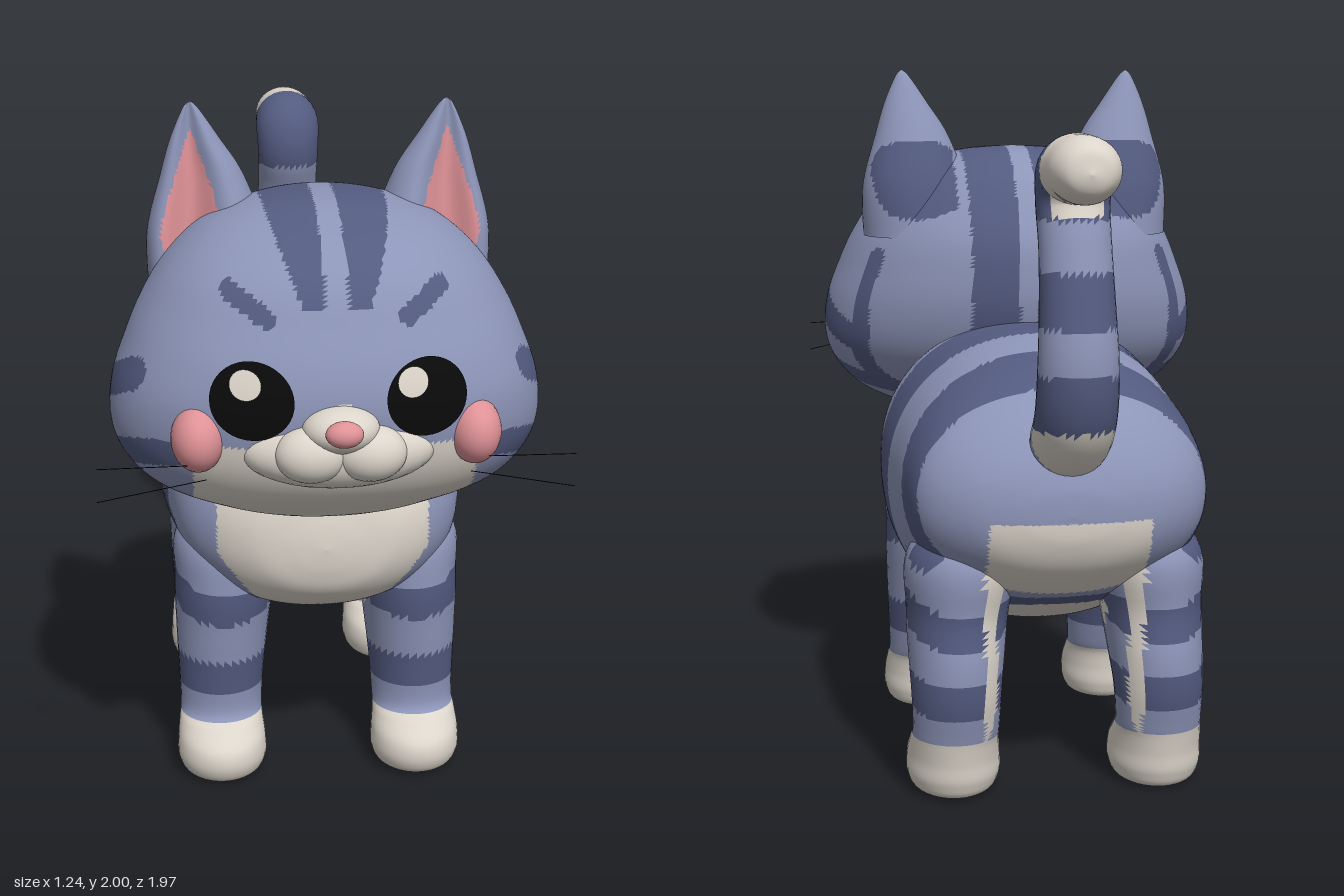
import * as THREE from 'three';

const material = (name, color) => {
  const m = new THREE.MeshStandardMaterial({ color });
  m.name = name;
  return m;
};
const FUR = 0, STRIPE = 1, CREAM = 2, PINK = 3, BLACK = 4;
const mats = [
  material('blueGreyFur', 0x8d95b8), material('darkStripe', 0x535b80), material('creamFur', 0xdcd5cb),
  material('pink', 0xdf9297), material('black', 0x0a0a0a),
];

// Smooth interpolation through rows of section values, t in 0..1
function sample(rows, t) {
  const n = rows.length - 1, f = Math.min(Math.max(t, 0), 1) * n;
  const i = Math.min(Math.floor(f), n - 1), u = f - i;
  const at = k => rows[Math.min(Math.max(k, 0), n)];
  return rows[0].map((_, k) => {
    const a = at(i)[k], b = at(i + 1)[k], m = (b - at(i - 1)[k]) / 2, q = (at(i + 2)[k] - a) / 2;
    return a + u * (m + u * (3 * (b - a) - 2 * m - q + u * (2 * (a - b) + m + q)));
  });
}

// Skin of rings through the sections; ring(section, angle, t) gives [x, y, z]
function loft(rows, steps, sides, ring) {
  const pos = [], idx = [];
  for (let i = 0; i <= steps; i++) {
    const s = sample(rows, i / steps);
    for (let j = 0; j < sides; j++) pos.push(...ring(s, (j / sides) * Math.PI * 2, i / steps));
  }
  for (let i = 0; i < steps; i++) for (let j = 0; j < sides; j++) {
    const a = i * sides + j, b = i * sides + (j + 1) % sides;
    idx.push(a, a + sides, b, b, a + sides, b + sides);
  }
  // Turn the faces outward if the enclosed volume is negative
  const v = k => new THREE.Vector3().fromArray(pos, k * 3);
  let volume = 0;
  for (let k = 0; k < idx.length; k += 3) volume += v(idx[k]).dot(v(idx[k + 1]).cross(v(idx[k + 2])));
  if (volume < 0) idx.reverse();
  const geo = new THREE.BufferGeometry();
  geo.setAttribute('position', new THREE.Float32BufferAttribute(pos, 3));
  geo.setIndex(idx);
  geo.computeVertexNormals();
  return geo;
}

// Sort the triangles into colour groups by a rule on |x|, y, z of their centres
function painted(name, geo, rule) {
  const p = geo.attributes.position, src = geo.index.array, buckets = mats.map(() => []);
  for (let k = 0; k < src.length; k += 3) {
    const t = [src[k], src[k + 1], src[k + 2]];
    const mid = f => (f(t[0]) + f(t[1]) + f(t[2])) / 3;
    buckets[rule(Math.abs(mid(i => p.getX(i))), mid(i => p.getY(i)), mid(i => p.getZ(i)))].push(...t);
  }
  geo.setIndex(buckets.flat());
  let start = 0;
  buckets.forEach((b, m) => {
    if (b.length) geo.addGroup(start, b.length, m);
    start += b.length;
  });
  const mesh = new THREE.Mesh(geo, mats);
  mesh.name = name;
  return mesh;
}

// True within r of the segment a-b
function near(px, py, ax, ay, bx, by, r) {
  const dx = bx - ax, dy = by - ay;
  const t = Math.min(Math.max(((px - ax) * dx + (py - ay) * dy) / (dx * dx + dy * dy), 0), 1);
  return Math.hypot(px - ax - t * dx, py - ay - t * dy) < r;
}
const power = (v, p) => Math.sign(v) * Math.abs(v) ** p;

// Head sections: y, half width, centre z, depth forward, depth back
const headRows = [
  [0.905, 0, 0.5, 0, 0], [0.912, 0.15, 0.49, 0.09, 0.11], [0.93, 0.26, 0.475, 0.15, 0.16], [0.955, 0.35, 0.46, 0.2, 0.2],
  [1.0, 0.45, 0.45, 0.28, 0.25], [1.05, 0.515, 0.45, 0.34, 0.32], [1.12, 0.565, 0.45, 0.385, 0.4],
  [1.2, 0.585, 0.45, 0.41, 0.45], [1.3, 0.575, 0.45, 0.42, 0.48], [1.4, 0.54, 0.44, 0.41, 0.475],
  [1.5, 0.495, 0.42, 0.385, 0.44], [1.6, 0.43, 0.4, 0.35, 0.37], [1.68, 0.345, 0.38, 0.28, 0.29],
  [1.73, 0.25, 0.36, 0.2, 0.2], [1.76, 0.14, 0.35, 0.12, 0.12], [1.77, 0, 0.34, 0, 0],
];
const FACE = 0.88;
const headRing = ([y, w, c, f, b], a) => {
  const s = Math.sin(a), p = s > 0 ? FACE : 1;
  return [w * power(Math.cos(a), p), y, c + (s > 0 ? f : b) * power(s, p)];
};
// Depth of the face surface at x, y
function faceZ(x, y) {
  let lo = 0, hi = 1;
  for (let i = 0; i < 30; i++) {
    const m = (lo + hi) / 2;
    if (sample(headRows, m)[0] < y) lo = m; else hi = m;
  }
  const [, w, c, f] = sample(headRows, lo);
  return c + f * Math.max(0, 1 - Math.abs(x / w) ** (2 / FACE)) ** (FACE / 2);
}
const earPatch = (x, y, z) => x > 0.2 && x < 0.46 && near(z, y, 0.19, 1.73, 0.12, 1.61, 0.055);
function headCoat(x, y, z) {
  if (z > 0.4 && x < 0.37 && y < 1.21) return CREAM;
  if (z > 0.6 && x < 0.15 && y < 1.34 - x * 0.9) return CREAM;
  const crown = z > 0.35 ? y > 1.55 && x < Math.min(0.17, 0.085 + 0.4 * (y - 1.55)) : y > 1.15 && x < 0.17;
  if (crown && x > 0.03) return STRIPE;
  if (z > 0.5 && near(x, y, 0.27, 1.59, 0.18, 1.53, 0.024)) return STRIPE;
  if (x > 0.3 && (near(z, y, 0.63, 1.35, 0.26, 1.2, 0.046) || near(z, y, 0.74, 1.17, 0.25, 1.03, 0.036))) return STRIPE;
  if (near(z, y, 0.18, 1.44, 0.2, 1.22, 0.028) || near(z, y, 0.2, 1.22, 0.26, 1.05, 0.028)) return STRIPE;
  return earPatch(x, y, z) ? STRIPE : FUR;
}

// Markings shared by the body and legs
function bodyCoat(x, y, z) {
  if (y < 0.18) return CREAM;
  const bib = y > 0.75 ? 0.3 : 0.12 + (y - 0.5) * 0.72;
  if ((z > 0.36 && x < bib) || (y < 0.53 && x < 0.14)) return CREAM;
  if (z < -0.6 && y < 0.82 && x < 0.22) return CREAM;
  const d = 1.25 - y, front = z > -0.1;
  const low = front ? 0.27 : 0.27 + 0.12 * (z + 0.52);
  const high = front ? 0.5 + 0.25 * (0.4 - z) : 0.55 + 0.3 * (z + 0.3);
  if (y > low && y < low + 0.1) return STRIPE;
  if ((z > 0.03 || z < -0.28) && y > high && y < high + 0.1) return STRIPE;
  if (y > 0.5 && z < 0.02 - 0.06 * d && z > -0.18 - 0.04 * d) return STRIPE;
  if (y > 0.66 && z < -0.34 - 0.27 * d && z > -0.54 - 0.12 * d) return STRIPE;
  if (x > 0.25 && (near(z, y, 0.3, 0.98, 0.15, 0.9, 0.05) || near(z, y, 0.15, 0.9, 0.09, 0.77, 0.045))) return STRIPE;
  return FUR;
}
function tailCoat(x, y, z) {
  if (y > 1.63 && z < -0.785) return CREAM;
  if (y < 1.08) return z < -0.73 ? CREAM : FUR;
  return y > 1.62 || (y > 1.35 && y < 1.49) || y < 1.23 ? STRIPE : FUR;
}

// Body sections: z, centre y, half height, half width
const bodyRows = [
  [0.54, 0.79, 0, 0], [0.53, 0.79, 0.08, 0.1], [0.5, 0.8, 0.16, 0.21], [0.42, 0.8, 0.23, 0.32], [0.3, 0.82, 0.3, 0.4],
  [0.1, 0.855, 0.395, 0.44], [-0.08, 0.83, 0.425, 0.45], [-0.25, 0.83, 0.41, 0.44], [-0.45, 0.85, 0.345, 0.425],
  [-0.6, 0.855, 0.265, 0.39], [-0.7, 0.845, 0.17, 0.28], [-0.745, 0.84, 0.08, 0.14], [-0.755, 0.84, 0, 0],
];
// Leg sections: y, centre x, centre z, half width, half depth
const frontLegRows = [
  [0.003, 0.29, 0.31, 0, 0], [0.006, 0.29, 0.31, 0.1, 0.11], [0.05, 0.29, 0.315, 0.13, 0.145], [0.11, 0.29, 0.312, 0.13, 0.146],
  [0.16, 0.29, 0.285, 0.124, 0.125], [0.2, 0.288, 0.257, 0.121, 0.114], [0.3, 0.286, 0.243, 0.126, 0.133],
  [0.45, 0.28, 0.23, 0.137, 0.165], [0.6, 0.27, 0.22, 0.148, 0.19], [0.75, 0.25, 0.21, 0.15, 0.17], [0.88, 0.22, 0.2, 0, 0],
];
const hindLegRows = [
  [0.003, 0.29, -0.45, 0, 0], [0.006, 0.29, -0.45, 0.1, 0.125], [0.05, 0.29, -0.45, 0.13, 0.16], [0.11, 0.29, -0.456, 0.13, 0.163],
  [0.16, 0.29, -0.49, 0.124, 0.138], [0.2, 0.288, -0.517, 0.121, 0.12], [0.3, 0.286, -0.52, 0.126, 0.14],
  [0.4, 0.282, -0.485, 0.134, 0.178], [0.52, 0.275, -0.45, 0.143, 0.195], [0.7, 0.255, -0.45, 0.15, 0.19], [0.85, 0.22, -0.45, 0, 0],
];
// Ear sections: y, centre x, centre z, half width, half depth
const earRows = [
  [1.5, 0.3, 0.29, 0.17, 0.17], [1.65, 0.31, 0.29, 0.16, 0.148], [1.8, 0.318, 0.29, 0.113, 0.092],
  [1.9, 0.335, 0.29, 0.066, 0.052], [1.98, 0.345, 0.29, 0.021, 0.018], [2.0, 0.347, 0.29, 0, 0],
];
// Tail path: z, y, radius
const tailRows = [
  [-0.6, 1.0, 0.09], [-0.7, 1.04, 0.1], [-0.78, 1.12, 0.1], [-0.81, 1.25, 0.098], [-0.79, 1.4, 0.092], [-0.755, 1.55, 0.088],
  [-0.718, 1.66, 0.09], [-0.745, 1.738, 0.094], [-0.83, 1.752, 0.088], [-0.91, 1.75, 0.083], [-0.965, 1.745, 0.055], [-0.985, 1.745, 0],
];

export function createModel() {
  const cat = new THREE.Group();
  cat.name = 'cat';
  const add = (name, geo, mat, x = 0, y = 0, z = 0) => {
    const mesh = new THREE.Mesh(geo, mats[mat]);
    mesh.name = name;
    mesh.position.set(x, y, z);
    cat.add(mesh);
    return mesh;
  };
  const ball = (name, mat, x, y, z, rx, ry, rz) =>
    add(name, new THREE.SphereGeometry(1, 32, 20), mat, x, y, z).scale.set(rx, ry, rz);
  // Thin oval laid on the curved face
  const oval = (name, mat, cx, cy, rx, ry, lift) => {
    const geo = new THREE.RingGeometry(0.001, 1, 40, 8), p = geo.attributes.position;
    for (let i = 0; i < p.count; i++) {
      const x = cx + p.getX(i) * rx, y = cy + p.getY(i) * ry;
      p.setXYZ(i, x, y, faceZ(x, y) + lift);
    }
    geo.computeVertexNormals();
    add(name, geo, mat);
  };

  cat.add(painted('head', loft(headRows, 130, 200, headRing), headCoat));
  cat.add(painted('body', loft(bodyRows, 130, 120, ([z, c, h, w], a) =>
    [w * power(Math.cos(a), 0.92), c + h * power(Math.sin(a), 0.95), z]), bodyCoat));
  cat.add(painted('tail', loft(tailRows, 90, 32, ([z, y, r], a, t) => {
    const p = sample(tailRows, t - 0.005), q = sample(tailRows, t + 0.005);
    const dz = q[0] - p[0], dy = q[1] - p[1], l = Math.hypot(dz, dy), s = r * Math.sin(a) / l;
    return [r * 1.08 * Math.cos(a), y - dz * s, z + dy * s];
  }), tailCoat));

  // Muzzle and nose
  ball('muzzle', CREAM, 0, 1.19, 0.81, 0.25, 0.1, 0.1);
  ball('noseBridge', CREAM, 0, 1.265, 0.86, 0.1, 0.062, 0.09);
  ball('nose', PINK, 0, 1.28, 0.95, 0.048, 0.034, 0.035);

  for (const s of [1, -1]) {
    const side = s > 0 ? 'left' : 'right';
    // Legs and paw pads
    for (const [name, rows, padZ] of [['FrontLeg', frontLegRows, 0.33], ['HindLeg', hindLegRows, -0.43]]) {
      cat.add(painted(side + name, loft(rows, 70, 36, ([y, x, z, w, d], a) =>
        [s * (x + w * Math.cos(a)), y, z + d * Math.sin(a)]), bodyCoat));
      add(side + name + 'Pad', new THREE.CylinderGeometry(0.05, 0.05, 0.006, 24), PINK, s * 0.29, 0.003, padZ);
    }
    // Ears with a hollow front
    cat.add(painted(side + 'Ear', loft(earRows, 50, 60, ([y, x, z, w, d], a) => {
      const hollow = 0.75 * Math.exp(-(((a - 1.35) / 0.5) ** 2));
      return [s * (x + w * Math.cos(a)), y, z + d * (Math.sin(a) - hollow)];
    }), (x, y, z) => {
      const half = 0.085 * Math.min(1, (1.93 - y) / 0.25);
      if (z > 0.28 && y > 1.61 && Math.abs(x - 0.348) < half) return PINK;
      return earPatch(x, y, z) ? STRIPE : FUR;
    }));
    // Face details
    ball(side + 'MuzzleLobe', CREAM, s * 0.075, 1.2, 0.865, 0.095, 0.075, 0.075);
    ball(side + 'Cheek', PINK, s * 0.358, 1.22, 0.775, 0.07, 0.088, 0.09);
    oval(side + 'Eye', BLACK, s * 0.223, 1.335, 0.106, 0.1, 0.005);
    oval(side + 'EyeShine', CREAM, s * 0.212 - 0.027, 1.378, 0.04, 0.038, 0.009);
    // Whiskers
    for (const [y0, y1] of [[1.13, 1.07], [1.17, 1.16]]) {
      const from = new THREE.Vector3(s * 0.34, y0, 0.84), to = new THREE.Vector3(s * 0.62, y1, 0.82);
      add(side + 'Whisker', new THREE.TubeGeometry(new THREE.LineCurve3(from, to), 1, 0.0012, 4), BLACK);
    }
  }
  return cat;
}
